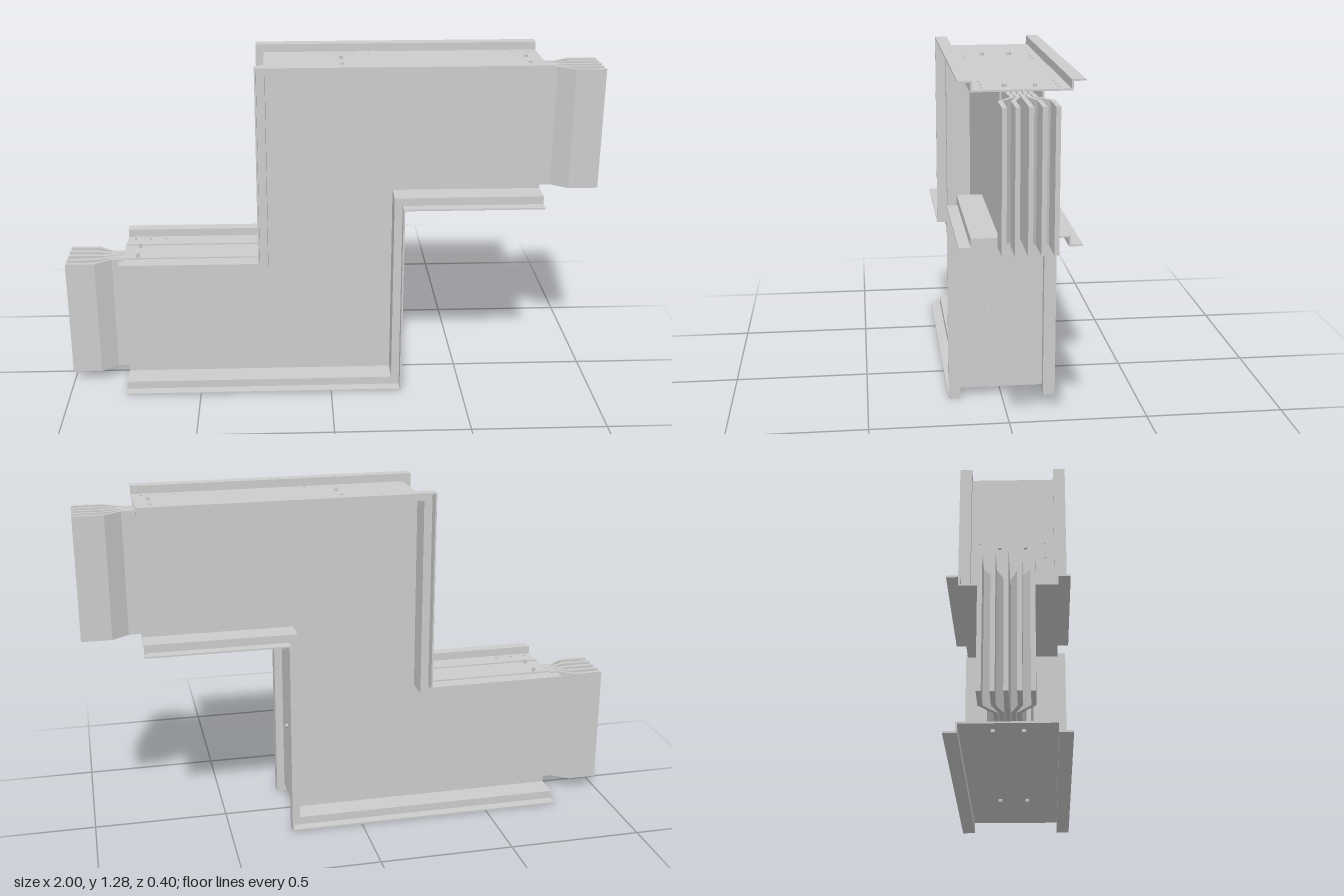
import * as THREE from 'three';

const END = 0.785, MID = 0.64; // half length of the casing, height of the symmetry centre
const grey = new THREE.MeshStandardMaterial({ color: 0xcccccc, flatShading: true });
const sheet = new THREE.MeshStandardMaterial({ color: 0xcccccc, flatShading: true, side: THREE.DoubleSide });

function add(parent, name, geometry, material = grey) {
  const mesh = new THREE.Mesh(geometry, material);
  mesh.name = name;
  parent.add(mesh);
  return mesh;
}

// Flat plate with a stepped outline, centred on depth z
function zPlate(lowY, highY, halfWidth, thickness, z) {
  const h = highY - lowY;
  const pts = [
    [-END, lowY], [halfWidth, lowY], [halfWidth, 2 * MID - highY], [END, 2 * MID - highY],
    [END, 2 * MID - highY + h], [-halfWidth, 2 * MID - lowY], [-halfWidth, highY], [-END, highY],
  ].map(p => new THREE.Vector2(...p));
  const g = new THREE.ExtrudeGeometry(new THREE.Shape(pts), { depth: thickness, bevelEnabled: false });
  return g.translate(0, 0, z - thickness / 2);
}

// Stepped rail section swept along the casing edge with mitred corners
function edgeChannel() {
  const t = 0.006;
  const half = [[0.161, -t], [0.161, 0.03 - t], [0.2, 0.03 - t], [0.2, 0.03], [0.155, 0.03], [0.155, 0]];
  const section = [...half, ...half.map(([z, d]) => [-z, d]).reverse()]; // [z, outward offset]
  const path = [[-END, 0.03, 0], [0.24, 0.03, 1], [0.24, 0.77, 1], [END, 0.77, 0]]; // x, y, mitre
  const rings = path.map(([x, y, m]) => section.map(([z, d]) => [x + m * d, y - d, z]));
  const n = section.length, pos = [];
  for (let i = 0; i < rings.length - 1; i++) {
    for (let j = 0; j < n; j++) {
      const k = (j + 1) % n;
      const a = rings[i][j], b = rings[i + 1][j], c = rings[i + 1][k], d = rings[i][k];
      pos.push(...a, ...b, ...c, ...a, ...c, ...d);
    }
  }
  const faces = THREE.ShapeUtils.triangulateShape(section.map(p => new THREE.Vector2(...p)), []);
  for (const ring of [rings[0], rings[rings.length - 1]])
    for (const f of faces) pos.push(...f.flatMap(i => ring[i]));
  const g = new THREE.BufferGeometry();
  g.setAttribute('position', new THREE.Float32BufferAttribute(pos, 3));
  g.computeVertexNormals();
  return g;
}

// Conductor end that spreads from the inner pitch to the outer pitch
function barEnd(index, thickness) {
  const zi = index * 0.018, zo = index * 0.04, t = thickness / 2;
  const line = [[END - 0.01, zi], [0.83, zi], [0.89, zo], [1, zo]];
  const outline = [...line.map(([x, z]) => [x, z - t]), ...line.reverse().map(([x, z]) => [x, z + t])];
  const shape = new THREE.Shape(outline.map(([x, z]) => new THREE.Vector2(x, -z)));
  const g = new THREE.ExtrudeGeometry(shape, { depth: 0.455, bevelEnabled: false });
  return g.rotateX(-Math.PI / 2).translate(0, 0.78, 0);
}

// Short round fastener whose axis follows the given direction
function stud(parent, name, radius, height, position, direction) {
  const m = add(parent, name, new THREE.CylinderGeometry(radius, radius, height, 10));
  m.position.set(...position);
  m.quaternion.setFromUnitVectors(new THREE.Vector3(0, 1, 0), new THREE.Vector3(...direction));
}

export function createModel() {
  const model = new THREE.Group();
  model.name = 'steppedBuswayElbow';

  // Stepped side plates
  for (const s of [1, -1])
    add(model, s > 0 ? 'frontPlate' : 'backPlate', zPlate(0.03, 0.515, 0.24, 0.006, s * 0.067));

  // Edge channels: the upper one is the lower one turned half way round
  const channel = edgeChannel();
  add(model, 'lowerEdgeChannel', channel, sheet);
  const upper = add(model, 'upperEdgeChannel', channel, sheet);
  upper.rotation.z = Math.PI;
  upper.position.y = 2 * MID;

  // Five conductors: stepped run inside, spread ends outside
  const bars = new THREE.Group();
  bars.name = 'conductors';
  model.add(bars);
  for (let i = -2; i <= 2; i++) {
    add(bars, 'innerBar', zPlate(0.05, 0.505, 0.225, 0.014, i * 0.018));
    const g = barEnd(i, 0.015);
    add(bars, 'rightBarEnd', g).name = 'upperBarEnd';
    const low = add(bars, 'lowerBarEnd', g);
    low.rotation.z = Math.PI;
    low.position.y = 2 * MID;
  }

  // Bolts and rivets on the channel walls
  const fixings = new THREE.Group();
  fixings.name = 'fixings';
  model.add(fixings);
  const up = [0, 1, 0], down = [0, -1, 0];
  for (const s of [1, -1]) {
    const bolt = (x, y, dir) => stud(fixings, 'bolt', 0.007, 0.016, [x, y, s * 0.048], dir);
    const rivet = (x, y, dir) => stud(fixings, 'rivet', 0.004, 0.006, [x, y, s * 0.122], dir);
    bolt(0.73, 1.252, up);
    bolt(0.045, 1.252, up);
    bolt(-0.73, 0.518, up);
    bolt(-0.73, 0.028, down);
    bolt(-0.045, 0.028, down);
    bolt(0.73, 0.762, down);
    bolt(0.242, 0.33, [1, 0, 0]);
    bolt(-0.242, 0.95, [-1, 0, 0]);
    for (let k = 0; k < 3; k++) {
      rivet(0.63 + k * 0.06, 1.25, up);
      rivet(0.03 + k * 0.06, 1.25, up);
      rivet(-0.755 + k * 0.06, 0.515, up);
      rivet(-0.24, 0.85 + k * 0.06, [-1, 0, 0]);
      // Rivets on the side plates
      stud(fixings, 'plateRivet', 0.004, 0.006, [-0.16 + k * 0.063, 0.525, s * 0.07], [0, 0, s]);
      stud(fixings, 'plateRivet', 0.004, 0.006, [-0.25, 0.31 + k * 0.06, s * 0.07], [0, 0, s]);
    }
  }
  return model;
}
